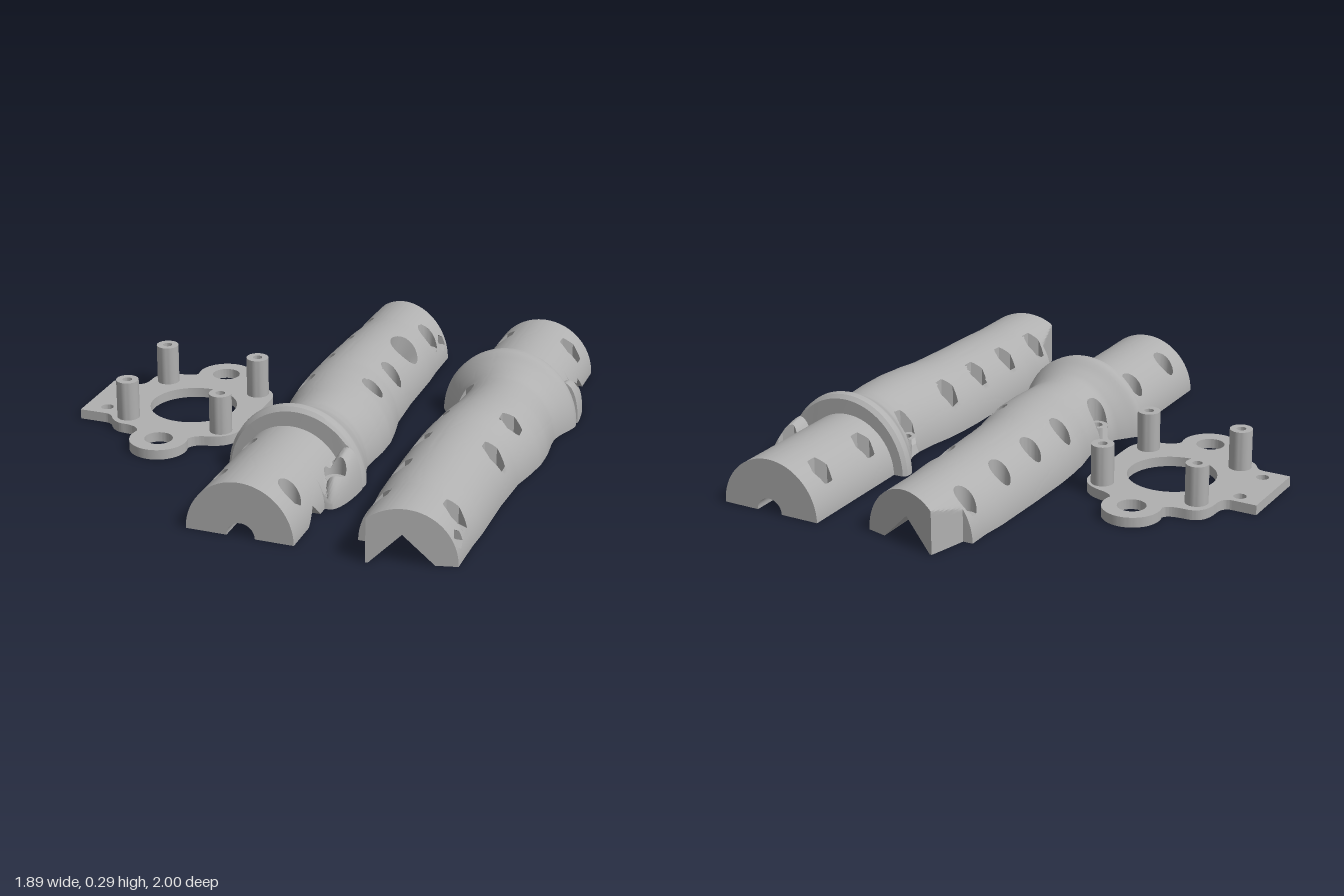
import * as THREE from 'three';
import { toCreasedNormals } from 'three/addons/utils/BufferGeometryUtils.js';

const gray = new THREE.MeshStandardMaterial({ color: 0xb0b0b0, side: THREE.DoubleSide });
gray.name = 'plain gray';

const add = (group, geo, name) => {
  const m = new THREE.Mesh(geo, gray);
  m.name = name;
  group.add(m);
  return m;
};

// Skin a list of equal-length rows of [x, y, z] points
function loft(rows, skip = () => false) {
  const n = rows[0].length, idx = [];
  const flat = rows.flat();
  const tri = (a, b, c) => { if (!skip(flat[a], flat[b], flat[c])) idx.push(a, b, c); };
  for (let i = 0; i < rows.length - 1; i++) for (let j = 0; j < n - 1; j++) {
    const a = i * n + j, b = a + n;
    tri(a, b, a + 1);
    tri(b, b + 1, a + 1);
  }
  const g = new THREE.BufferGeometry();
  g.setAttribute('position', new THREE.Float32BufferAttribute(flat.flat(), 3));
  g.setIndex(idx);
  return toCreasedNormals(g, 0.6);
}

// Grip outline along z: [z, left x, right x, height]
const PROFILE = [
  [-1.1, -.15, .25, .215], [-.75, -.15, .25, .215], [-.65, -.16, .255, .22], [-.4, -.165, .255, .23],
  [-.2, -.165, .265, .235], [-.1, -.16, .285, .24], [0, -.15, .3, .24], [.1, -.13, .3, .237],
  [.2, -.12, .29, .235], [.25, -.125, .288, .235], [.3, -.14, .3, .243], [.35, -.18, .32, .265],
  [.38, -.205, .33, .285], [.4, -.215, .335, .293], [.425, -.213, .333, .29], [.44, -.2, .325, .275],
  [.441, -.16, .26, .215], [1.1, -.16, .26, .215]];
const FRONT = .97, STEP = -.845, MID = .055, WIDE = .115, NARROW = .055, CHANGE = .25, SEAT = .08;
const endZ = x => -1 + .25 * (x + .07);
const cutX = z => z < STEP ? -.11 + (STEP - z) * .04 / .155 : -9;
const notch = z => Math.max(0, .06 - Math.abs(z - .755));
const bossK = z => z > .4405 ? 1 - ((z - .42) / .23) ** 2 : -1;

function section(z) {
  const i = PROFILE.findIndex(p => p[0] > z), p = PROFILE[i - 1], q = PROFILE[i];
  const t = (z - p[0]) / (q[0] - p[0]);
  const [l, r, h] = [1, 2, 3].map(k => p[k] + (q[k] - p[k]) * t);
  return { c: (l + r) / 2, a: (r - l) / 2, h, l };
}
function height(x, z) {
  const { c, a, h } = section(z);
  const tube = h * Math.sqrt(Math.max(0, 1 - ((x - c) / a) ** 2));
  return Math.max(tube, .165 * Math.sqrt(Math.max(0, bossK(z) - ((x - .275) / .06) ** 2)));
}
function sideX(y, z) {
  const { c, a, h } = section(z);
  return c + a * Math.sqrt(Math.max(0, 1 - (y / h) ** 2));
}
const rightX = z => Math.max(sideX(notch(z), z), bossK(z) > 0 ? .275 + .06 * Math.sqrt(bossK(z)) : -9);
const leftX = z => Math.max(section(z).l, cutX(z));

const zs = [-.8455, -.845, .38, .4, .425, .44, .441, .645, .65, .695, .755, .815];
for (let i = 0; i <= 150; i++) zs.push(-1 + i * (FRONT + 1) / 150);
zs.sort((a, b) => a - b);

const SCREWS = [...[-.795, -.545, -.31, -.075, .24, .55, .84].map(z => [-.09, z]),
  ...[-.795, -.31, -.075, .84].map(z => [.195, z]), [.265, .55]];

const hexRadius = r => f => {
  const s = Math.PI / 3, m = ((f % s) + s) % s - s / 2;
  return r * Math.cos(s / 2) / Math.cos(m);
};
const round = r => () => r;
const ring = (fn, n = 36) => Array.from({ length: n + 1 }, (_, i) => fn(i / n * Math.PI * 2));

function gripHalf(name, hex, button) {
  const g = new THREE.Group();
  g.name = name;
  // openings: centre (u, z) seen from above, or from the side when side is set
  const bore = hex ? f => hexRadius(.046)(f + Math.PI / 2) : round(.042);
  const openings = SCREWS.map(([u, z]) => ({ u, z, r: bore }));
  openings.push({ u: .085, z: -.875, r: hexRadius(.035), side: true });
  if (button) openings.push({ u: .17, z: -.55, r: f => 1 / Math.hypot(Math.cos(f) / .055, Math.sin(f) / .075) });
  const place = (o, f, r = o.r(f)) => {
    const u = o.u + Math.cos(f) * r, z = o.z + Math.sin(f) * r;
    return o.side ? [sideX(u, z), u, z] : [u, height(u, z), z];
  };
  const polar = (o, p) => {
    if (o.side && p[0] < .1) return null;
    const du = p[o.side ? 1 : 0] - o.u, dz = p[2] - o.z;
    return { d: Math.hypot(du, dz), f: Math.atan2(dz, du) };
  };

  // Outer skin, with points near an opening drawn onto its rim
  const rows = zs.map(z0 => {
    const l = section(z0).l, r = rightX(z0), pts = [];
    for (let j = 0; j <= 72; j++) {
      const x0 = (l + r) / 2 + (r - l) / 2 * Math.cos(j / 72 * Math.PI);
      const x = Math.max(x0, cutX(z0));
      const z = z0 < STEP ? STEP - (z0 - STEP) / .155 * (endZ(x) - STEP) : z0;
      let p = [x, height(x0, z0), z];
      for (const o of openings) {
        const q = polar(o, p);
        if (q && Math.abs(q.d - o.r(q.f)) < .0075) { p = place(o, q.f); break; }
      }
      pts.push(p);
    }
    return pts;
  });
  const inside = (a, b, c) => {
    const m = a.map((v, k) => (v + b[k] + c[k]) / 3);
    return openings.some(o => { const q = polar(o, m); return q && q.d < o.r(q.f) - .0005; });
  };
  add(g, loft(rows, inside), 'gripShell');

  // Screw counterbores, seats and through holes
  SCREWS.forEach(([x, z], i) => {
    const o = openings[i], at = (r, y) => ring(f => [x + Math.cos(f) * r(f), y, z + Math.sin(f) * r(f)]);
    const top = ring(f => { const p = place(o, f); p[1] = Math.max(p[1], SEAT); return p; });
    add(g, loft([top, at(bore, SEAT), at(round(.022), SEAT), at(round(.022), 0)]), 'screwHole');
  });
  // Nut recess on the side
  const nut = openings[SCREWS.length];
  const nutRing = (x, k) => ring(f => [x, nut.u + Math.cos(f) * nut.r(f) * k, nut.z + Math.sin(f) * nut.r(f) * k]);
  add(g, loft([ring(f => place(nut, f)), nutRing(.185, 1), nutRing(.185, 0)]), 'nutRecess');
  // Tilted button opening
  if (button) {
    const o = openings[openings.length - 1];
    const low = k => ring(f => [.125 + Math.cos(f) * .035 * k, .08, o.z + Math.sin(f) * .052 * k]);
    add(g, loft([ring(f => place(o, f)), low(1), low(0)]), 'buttonOpening');
  }

  // Flat joining faces beside the channel
  const rail = (s, z0, z1) => {
    const edge = s < 0 ? leftX : rightX, wide = MID + s * WIDE, slim = MID + s * NARROW;
    const first = z0 < -.9 ? endZ(s < 0 ? -.07 : .25) : z0;
    const pts = [[edge(first), first], ...zs.filter(z => z > first + 1e-4 && z < z1 - 1e-4).map(z => [edge(z), z]), [edge(z1), z1], [slim, z1]];
    if (z0 < CHANGE) pts.push([slim, CHANGE], [wide, CHANGE], [wide, endZ(wide)]);
    else pts.push([slim, z0]);
    const shape = new THREE.Shape(pts.map(p => new THREE.Vector2(...p)));
    for (const [x, z] of SCREWS) if ((x - MID) * s > 0 && z > z0 && z < z1)
      shape.holes.push(new THREE.Path().absarc(x, z, .022, 0, Math.PI * 2, true));
    add(g, new THREE.ShapeGeometry(shape, 18).rotateX(Math.PI / 2), 'joiningFace');
  };
  rail(-1, -1, FRONT);
  rail(1, -1, .695);
  rail(1, .815, FRONT);

  // Peaked rear channel, round front channel, wall between, cable notch
  const peak = [[MID - WIDE, 0], [MID, WIDE], [MID + WIDE, 0]];
  const arch = Array.from({ length: 17 }, (_, i) => {
    const f = Math.PI * (1 - i / 16);
    return [MID + NARROW * Math.cos(f), NARROW * Math.sin(f)];
  });
  add(g, loft([peak.map(([x, y]) => [x, y, endZ(x)]), peak.map(([x, y]) => [x, y, CHANGE])]), 'rearChannel');
  add(g, loft([arch.map(p => [...p, CHANGE]), arch.map(p => [...p, FRONT])]), 'frontChannel');
  const flat = pts => new THREE.ShapeGeometry(new THREE.Shape(pts.map(p => new THREE.Vector2(p[0], p[1]))));
  add(g, flat([...peak, ...[...arch].reverse()]).translate(0, 0, CHANGE), 'channelWall');
  const nz = zs.filter(z => z >= .695 && z <= .815);
  add(g, loft([nz.map(z => [.1, notch(z), z]), nz.map(z => [rightX(z), notch(z), z])]), 'cableNotch');

  // Square front end and slanted rear end
  add(g, flat([...rows[rows.length - 1], ...arch]).translate(0, 0, FRONT), 'frontEnd');
  const rear = flat([...rows[0], ...peak]), p = rear.attributes.position;
  for (let i = 0; i < p.count; i++) p.setZ(i, endZ(p.getX(i)));
  rear.computeVertexNormals();
  add(g, rear, 'rearEnd');
  return g;
}

function mountPlate() {
  const g = new THREE.Group();
  g.name = 'mountPlate';
  const s = new THREE.Shape();
  s.moveTo(-.95, -.11).lineTo(-.85, -.11);
  s.quadraticCurveTo(-.81, -.11, -.81, -.17).quadraticCurveTo(-.81, -.27, -.73, -.27);
  s.quadraticCurveTo(-.66, -.27, -.65, -.3).absarc(-.54, -.335, .115, 2.84, 6.58, false);
  s.quadraticCurveTo(-.42, -.275, -.37, -.265).quadraticCurveTo(-.265, -.24, -.265, -.14);
  s.lineTo(-.265, -.03).lineTo(-.27, .01).lineTo(-.265, .05).lineTo(-.265, .15);
  s.quadraticCurveTo(-.265, .26, -.37, .28).quadraticCurveTo(-.42, .29, -.43, .325);
  s.absarc(-.54, .36, .115, -.3, Math.PI + .3, false);
  s.quadraticCurveTo(-.66, .28, -.73, .28).quadraticCurveTo(-.77, .28, -.8, .235);
  s.quadraticCurveTo(-.815, .21, -.84, .21).lineTo(-.95, .21).closePath();
  for (const [x, z, r] of [[-.54, .01, .175], [-.54, -.335, .056], [-.54, .36, .056], [-.86, -.06, .025], [-.86, .15, .025]])
    s.holes.push(new THREE.Path().absarc(x, z, r, 0, Math.PI * 2, true));
  const plate = new THREE.ExtrudeGeometry(s, { depth: .04, bevelEnabled: false, curveSegments: 28 });
  add(g, toCreasedNormals(plate.rotateX(Math.PI / 2).translate(0, .04, 0), .5), 'plate');
  // Hollow standoff posts
  const post = [[.045, .035], [.045, .2], [.019, .2], [.019, .1], [0, .1]].map(p => new THREE.Vector2(...p));
  const postGeo = toCreasedNormals(new THREE.LatheGeometry(post, 28), .6);
  for (const x of [-.74, -.34]) for (const z of [-.19, .205]) add(g, postGeo, 'post').position.set(x, 0, z);
  return g;
}

export function createModel() {
  const model = new THREE.Group();
  model.name = 'gripKit';
  const mirrored = gripHalf('leftGripHalf', true, false);
  mirrored.scale.z = -1;
  mirrored.position.x = .61;
  model.add(mountPlate(), gripHalf('middleGripHalf', false, true), mirrored);
  return model;
}
